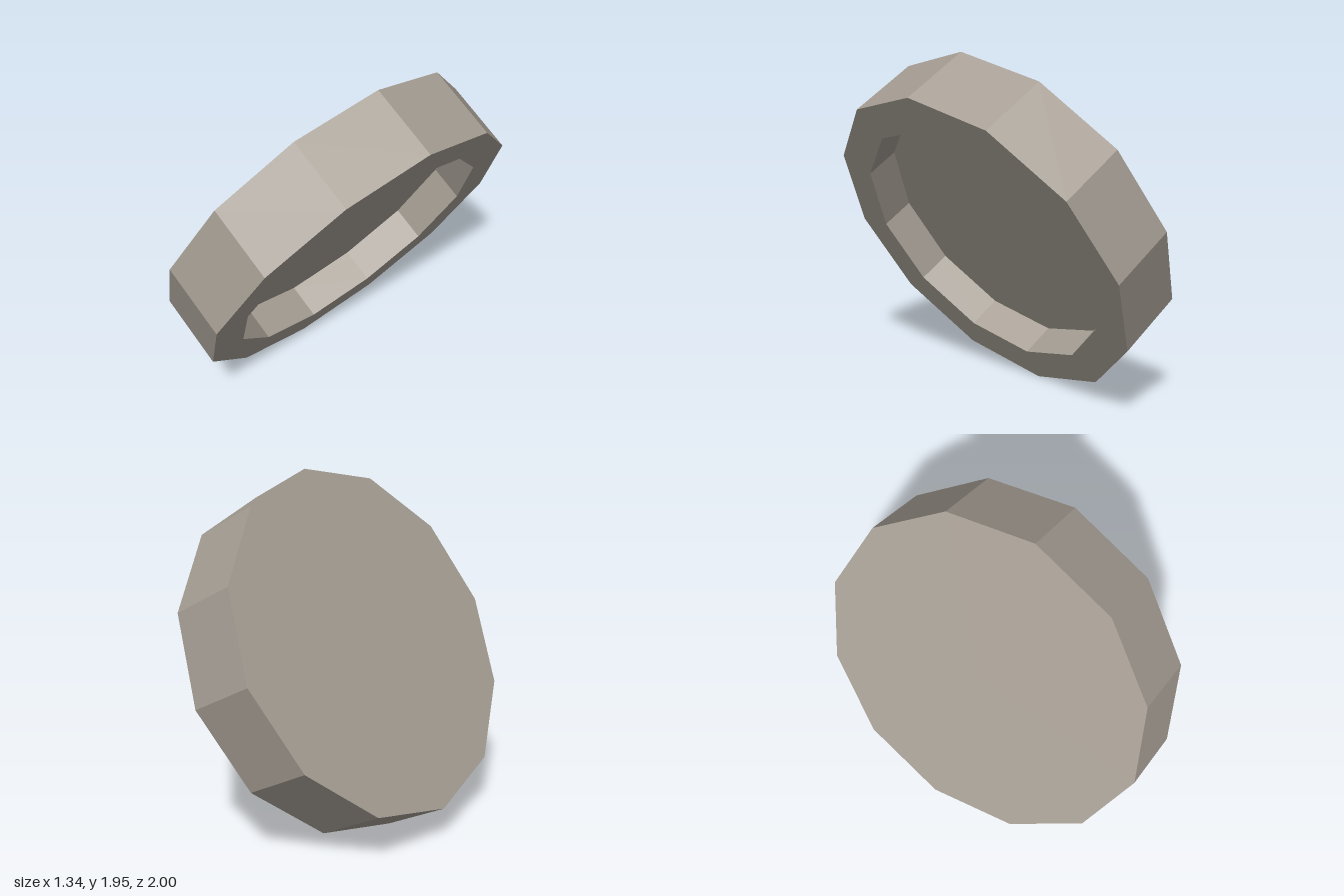
import * as THREE from 'three';

export function createModel() {
  const group = new THREE.Group();
  const stone = new THREE.MeshStandardMaterial({ color: 0xa69e94, flatShading: true });
  stone.name = 'warmGrey';

  // Twelve-sided dish: recess floor, recess wall, rim, outer wall, flat back
  const half = 0.211, inner = 0.795, recess = 0.206;
  const profile = [
    [0, -half + recess],
    [inner, -half + recess],
    [inner, -half],
    [1, -half],
    [1, half],
    [0, half],
  ].map(([r, y]) => new THREE.Vector2(r, y));

  const dish = new THREE.Mesh(new THREE.LatheGeometry(profile, 12), stone);
  dish.name = 'recessedDisc';

  // Tilt so that the recess faces +x and slightly down
  dish.rotation.z = THREE.MathUtils.degToRad(60.9);
  dish.position.y = 0.977;
  group.add(dish);
  return group;
}
